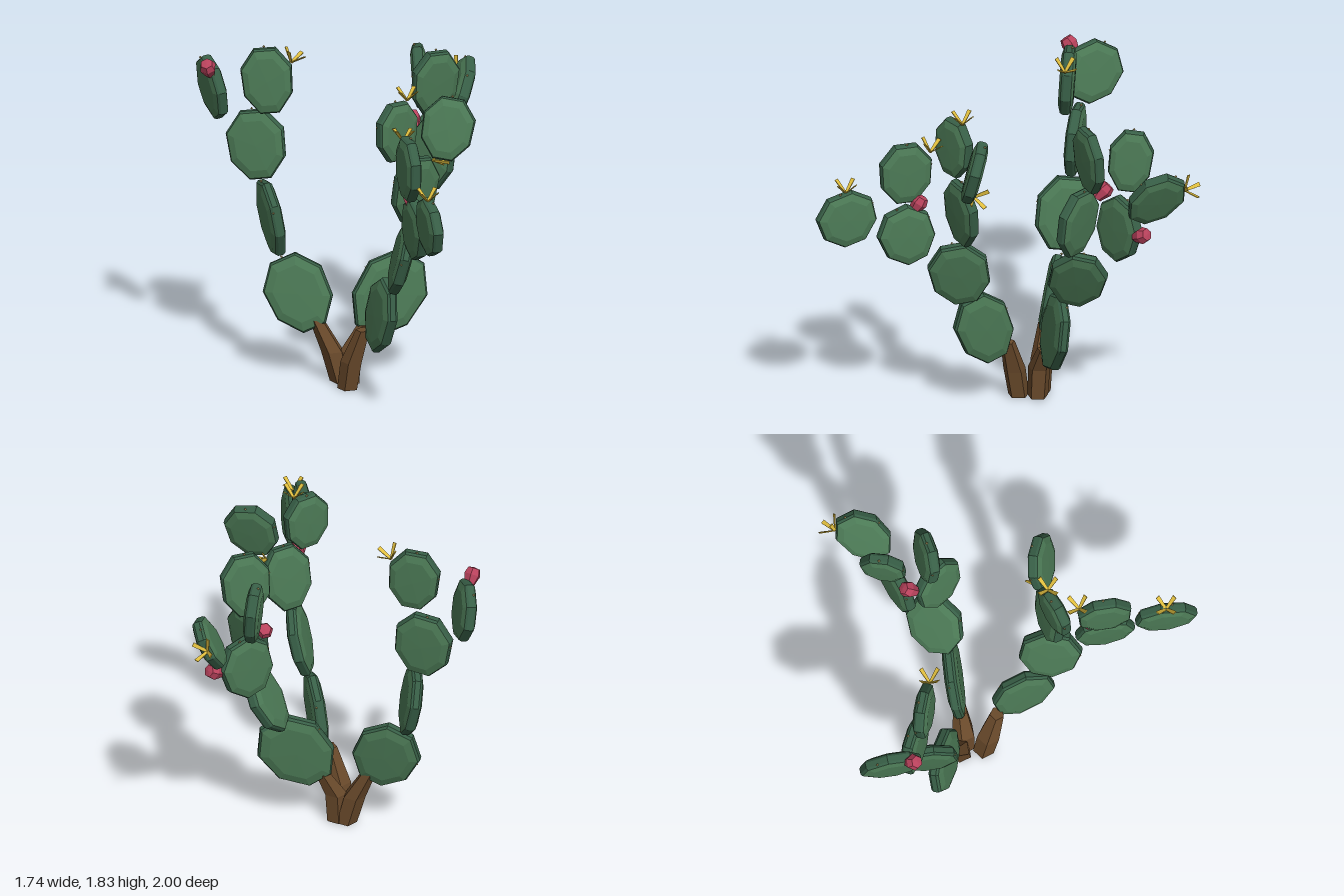
import * as THREE from 'three';

const mat = (name, color, extra = {}) => {
  const m = new THREE.MeshStandardMaterial({ color, flatShading: true, ...extra });
  m.name = name;
  return m;
};
const V = (a) => new THREE.Vector3(...a);
const UP = new THREE.Vector3(0, 1, 0);

// Pads: centre, half-length vector (base to tip), half-width vector
const PADS = {
  leftBranch: [
    [[0.00, 0.465, 0.03], [0.115, 0.20, 0.07], [0.11, -0.10, 0.11]],
    [[0.18, 0.845, 0.075], [0.085, 0.18, 0.05], [0.12, -0.033, -0.085]],
    [[0.40, 1.175, 0.00], [0.055, 0.18, 0.01], [0.14, -0.045, 0.03]],
    [[0.235, 1.22, 0.15], [0.03, 0.195, 0.00], [-0.01, 0, 0.14]],
    [[0.29, 1.59, 0.12], [0.00, 0.185, 0.02], [0.12, 0, 0.06]],
    [[0.42, 1.55, -0.075], [0.01, 0.172, -0.025], [0.095, 0, -0.07]],
    [[0.655, 1.425, 0.015], [0.115, 0.14, -0.03], [0.06, -0.06, -0.10]],
  ],
  frontBranch: [
    [[-0.33, 0.475, 0.22], [-0.03, 0.20, 0.075], [-0.08, -0.05, 0.12]],
    [[-0.37, 0.845, 0.385], [0.00, 0.19, 0.06], [0.125, 0.03, -0.095]],
    [[-0.555, 1.105, 0.61], [-0.04, 0.155, 0.045], [-0.08, -0.055, 0.115]],
    [[-0.765, 1.235, 0.86], [-0.03, 0.145, 0.03], [-0.09, -0.045, 0.125]],
    [[-0.58, 1.45, 0.585], [0.00, 0.172, 0.00], [-0.085, 0, 0.115]],
    [[-0.32, 1.23, 0.435], [0.01, 0.19, 0.03], [0.125, 0, 0.05]],
    [[-0.41, 1.57, 0.38], [0.01, 0.165, 0.00], [0.125, -0.01, 0.03]],
    [[-0.16, 1.548, 0.535], [0.05, 0.165, 0.00], [0.07, -0.02, 0.12]],
  ],
  backBranch: [
    [[-0.30, 0.475, -0.345], [-0.02, 0.19, -0.095], [0.09, 0.075, 0.125]],
    [[-0.33, 0.875, -0.505], [0.00, 0.20, -0.05], [0.10, -0.03, -0.12]],
    [[-0.33, 1.27, -0.60], [0.00, 0.192, -0.03], [0.07, 0, 0.14]],
    [[-0.33, 1.645, -0.53], [0.00, 0.183, -0.02], [0.075, 0, 0.115]],
    [[-0.395, 1.56, -0.845], [0.03, 0.145, -0.085], [0.085, -0.08, -0.105]],
  ],
};

// Flowers and fruits: base point, direction
const FLOWERS = [
  [[-0.775, 1.38, 0.855], [0, 1, 0]],
  [[-0.49, 1.56, 0.485], [0.15, 1, -0.1]],
  [[-0.34, 1.73, 0.40], [0, 1, 0]],
  [[-0.21, 1.37, 0.475], [1, 0.3, 0.4]],
  [[-0.265, 1.75, -0.42], [0.3, 1, 0.25]],
  [[0.77, 1.47, -0.085], [0.9, 0.6, -0.2]],
];
const FRUITS = [
  [[0.54, 1.18, 0.045], [0.9, 0.45, 0.1]],
  [[0.26, 1.32, 0.01], [0.45, 0.7, -0.55]],
  [[-0.54, 1.23, 0.57], [0.4, 0.9, -0.4]],
  [[-0.475, 1.665, -0.80], [-0.55, 0.8, 0.15]],
];
// Stems: centreline points and radii
const STEMS = [
  [[-0.285, 0, -0.03], [-0.29, 0.16, 0.0], [-0.285, 0.35, 0.07]],
  [[-0.195, 0, -0.08], [-0.185, 0.17, -0.08], [-0.12, 0.31, -0.04]],
  [[-0.215, 0, -0.13], [-0.235, 0.17, -0.17], [-0.27, 0.34, -0.25]],
];

export function createModel() {
  const green = mat('pad green', 0x4c7a56);
  const darkGreen = mat('rim green', 0x385f47);
  const brown = mat('bark brown', 0x6a4a2b);
  const pink = mat('fruit pink', 0xb8425c);
  const yellow = mat('petal yellow', 0xdfbd3e);
  const tan = mat('areole tan', 0xb9a468);
  const root = new THREE.Group();
  root.name = 'pricklyPear';

  // Unit eight-sided pad parts, slightly narrower at the base
  const ring = (pts) => {
    const g = new THREE.LatheGeometry(pts.map((p) => new THREE.Vector2(...p)), 8, Math.PI / 8);
    const pos = g.attributes.position;
    for (let i = 0; i < pos.count; i++) pos.setX(i, pos.getX(i) * (1 + 0.07 * pos.getZ(i)));
    return g;
  };
  const T = 0.042, R = 1.05;
  const faceGeos = [
    ring([[0, -T], [0.72 * R, -T * 0.95], [0.95 * R, -T * 0.65]]),
    ring([[0.95 * R, T * 0.65], [0.72 * R, T * 0.95], [0, T]]),
  ];
  const rimGeo = ring([[0.95 * R, -T * 0.65], [R, -T * 0.35], [R, T * 0.35], [0.95 * R, T * 0.65]]);
  const dotGeo = new THREE.OctahedronGeometry(0.008);

  function addPad(parent, [c, a, w]) {
    const pad = new THREE.Group();
    pad.name = 'pad';
    const len = V(a).length(), wid = V(w).length();
    const Z = V(a).normalize();
    const Y = new THREE.Vector3().crossVectors(Z, V(w)).normalize();
    const X = new THREE.Vector3().crossVectors(Y, Z);
    pad.position.copy(V(c));
    pad.quaternion.setFromRotationMatrix(new THREE.Matrix4().makeBasis(X, Y, Z));
    const put = (geo, m, name) => {
      const mesh = new THREE.Mesh(geo, m);
      mesh.name = name;
      mesh.scale.set(wid, 1, len);
      pad.add(mesh);
    };
    faceGeos.forEach((g) => put(g, green, 'padFace'));
    put(rimGeo, darkGreen, 'padRim');
    // Small areoles along the rim
    for (const t of [0.35, 1.6, 2.9]) {
      const dot = new THREE.Mesh(dotGeo, tan);
      dot.name = 'areole';
      dot.position.set(Math.cos(t) * wid, T * 0.35, Math.sin(t) * len);
      pad.add(dot);
    }
    parent.add(pad);
  }
  for (const [name, pads] of Object.entries(PADS)) {
    const branch = new THREE.Group();
    branch.name = name;
    pads.forEach((p) => addPad(branch, p));
    root.add(branch);
  }

  // Woody stems: tapered five-sided prisms bent through three points
  STEMS.forEach((pts, k) => {
    const g = new THREE.CylinderGeometry(1, 1, 2, 5, 2);
    const pos = g.attributes.position;
    const radii = [0.058, 0.062, 0.04];
    for (let i = 0; i < pos.count; i++) {
      const j = Math.round(pos.getY(i) + 1);
      pos.setXYZ(i, pts[j][0] + pos.getX(i) * radii[j], pts[j][1], pts[j][2] + pos.getZ(i) * radii[j]);
    }
    const stem = new THREE.Mesh(g, brown);
    stem.name = 'stem' + (k + 1);
    root.add(stem);
  });

  // Flowers: four thin petals leaning outward
  const petalGeo = new THREE.BoxGeometry(0.024, 0.09, 0.005);
  petalGeo.translate(0, 0.045, 0);
  const petalPos = petalGeo.attributes.position;
  for (let i = 0; i < petalPos.count; i++) {
    if (petalPos.getY(i) < 0.01) petalPos.setX(i, petalPos.getX(i) * 0.6);
  }
  FLOWERS.forEach(([p, d]) => {
    const flower = new THREE.Group();
    flower.name = 'flower';
    flower.position.set(...p);
    flower.quaternion.setFromUnitVectors(UP, V(d).normalize());
    for (let i = 0; i < 4; i++) {
      const petal = new THREE.Mesh(petalGeo, yellow);
      petal.name = 'petal';
      petal.rotation.set(0.8, (i * Math.PI) / 2, 0, 'YXZ');
      flower.add(petal);
    }
    root.add(flower);
  });

  // Fruits: faceted buds
  const fruitGeo = new THREE.LatheGeometry(
    [[0, 0], [0.026, 0], [0.046, 0.06], [0.034, 0.095], [0, 0.1]].map((p) => new THREE.Vector2(...p)), 6);
  FRUITS.forEach(([p, d]) => {
    const fruit = new THREE.Mesh(fruitGeo, pink);
    fruit.name = 'fruit';
    fruit.position.set(...p);
    fruit.quaternion.setFromUnitVectors(UP, V(d).normalize());
    root.add(fruit);
  });
  return root;
}
